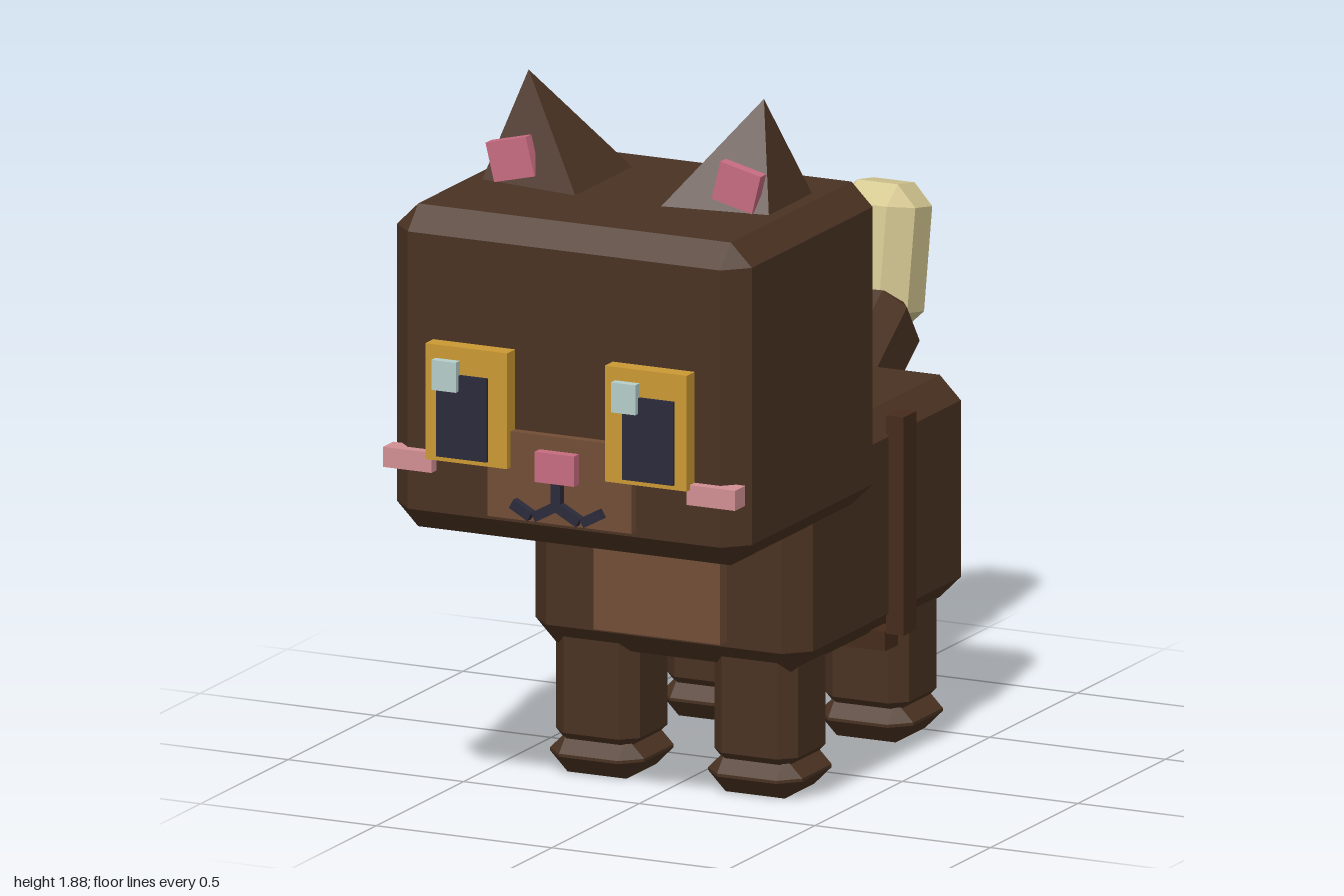
import * as THREE from 'three';
import { ConvexGeometry } from 'three/addons/geometries/ConvexGeometry.js';

const mat = (name, color) => {
  const m = new THREE.MeshStandardMaterial({ color });
  m.name = name;
  return m;
};

// Box with all edges bevelled flat by c
function chamferBox(w, h, d, c) {
  const pts = [];
  for (const sx of [-1, 1]) for (const sy of [-1, 1]) for (const sz of [-1, 1]) {
    const x = w / 2, y = h / 2, z = d / 2;
    pts.push(
      new THREE.Vector3(sx * x, sy * (y - c), sz * (z - c)),
      new THREE.Vector3(sx * (x - c), sy * y, sz * (z - c)),
      new THREE.Vector3(sx * (x - c), sy * (y - c), sz * z));
  }
  return new ConvexGeometry(pts);
}

export function createModel() {
  const root = new THREE.Group();
  root.name = 'cat';
  const fur = mat('brown fur', 0x4a3222);
  const leather = mat('strap brown', 0x452b1a);
  const patch = mat('light brown fur', 0x714d35);
  const amber = mat('amber', 0xcc9933);
  const dark = mat('dark navy', 0x2b2a3a);
  const glass = mat('pale glass', 0xb6cfca);
  const pink = mat('pink', 0xc86c82);
  const blush = mat('blush pink', 0xd29094);
  const cream = mat('cream', 0xd3c690);
  const metal = mat('grey metal', 0x989ca6);

  const add = (name, geo, material, x = 0, y = 0, z = 0, parent = root) => {
    const m = new THREE.Mesh(geo, material);
    m.name = name;
    m.position.set(x, y, z);
    parent.add(m);
    return m;
  };
  // Plain box given by its extents
  const slab = (name, material, x0, x1, y0, y1, z0, z1, parent = root) =>
    add(name, new THREE.BoxGeometry(x1 - x0, y1 - y0, z1 - z0), material,
      (x0 + x1) / 2, (y0 + y1) / 2, (z0 + z1) / 2, parent);

  // Body and chest
  add('body', chamferBox(0.79, 0.585, 0.965, 0.06), fur, 0, 0.6325, -0.1225);
  slab('chestPatch', patch, -0.18, 0.18, 0.415, 0.8, 0.34, 0.4);

  // Legs and paws
  for (const x of [-0.225, 0.225]) for (const z of [0.205, -0.43]) {
    const leg = new THREE.Group();
    leg.name = z > 0 ? 'frontLeg' : 'backLeg';
    leg.position.set(x, 0, z);
    root.add(leg);
    add('shin', chamferBox(0.238, 0.35, 0.238, 0.04), fur, 0, 0.245, 0, leg);
    add('paw', chamferBox(0.268, 0.108, 0.268, 0.05), fur, 0, 0.054, 0, leg);
  }

  // Tail
  add('tailBase', chamferBox(0.24, 0.237, 0.35, 0.055), fur, 0, 0.9, -0.727).rotation.x = 0.61;
  add('tailTip', chamferBox(0.225, 0.38, 0.208, 0.055), cream, 0, 1.125, -0.877).rotation.x = -0.175;

  // Head
  const head = new THREE.Group();
  head.name = 'head';
  root.add(head);
  add('skull', chamferBox(1.01, 0.85, 0.81, 0.06), fur, 0, 1.19, 0.525, head);
  slab('muzzle', patch, -0.205, 0.205, 0.84, 1.07, 0.92, 0.957, head);
  slab('nose', pink, -0.056, 0.056, 0.953, 1.033, 0.94, 0.985, head);

  for (const s of [-1, 1]) {
    // Ear: lopsided four-sided pyramid leaning outward
    const ear = [[0.335, 1.885, 0.46], [0.12, 1.612, 0.293], [0.12, 1.612, 0.622],
      [0.412, 1.6, 0.325], [0.412, 1.6, 0.585]];
    add('ear', new ConvexGeometry(ear.map(([x, y, z]) => new THREE.Vector3(s * x, y, z))),
      fur, 0, 0, 0, head);
    add('innerEar', new THREE.BoxGeometry(0.118, 0.104, 0.032), pink,
      s * 0.322, 1.68, 0.577, head).rotation.z = -s * 0.24;

    // Eye with pupil and a highlight on the same side of both eyes
    const cx = s * 0.2555, px = s * 0.265, hx = s < 0 ? -0.308 : 0.203;
    slab('eye', amber, cx - 0.1165, cx + 0.1165, 0.975, 1.28, 0.92, 0.976, head);
    slab('pupil', dark, px - 0.072, px + 0.072, 0.988, 1.208, 0.97, 0.985, head);
    slab('eyeHighlight', glass, hx - 0.035, hx + 0.035, 1.166, 1.245, 0.97, 1.0, head);

    slab('cheek', blush, s * 0.432 - 0.069, s * 0.432 + 0.069, 0.935, 0.988, 0.9, 0.958, head);

    // Mouth strokes
    add('mouthInner', new THREE.BoxGeometry(0.065, 0.026, 0.03), dark,
      s * 0.035, 0.873, 0.965, head).rotation.z = -s * 0.5;
    add('mouthOuter', new THREE.BoxGeometry(0.06, 0.026, 0.03), dark,
      s * 0.1, 0.872, 0.965, head).rotation.z = s * 0.5;
  }
  slab('mouthLine', dark, -0.013, 0.013, 0.88, 0.96, 0.95, 0.98, head);

  // Harness strap around the sides and belly
  for (const s of [-1, 1])
    slab('sideStrap', leather, s * 0.412 - 0.025, s * 0.412 + 0.025, 0.345, 0.92, -0.207, -0.133);
  slab('bellyStrap', leather, -0.385, 0.385, 0.298, 0.35, -0.207, -0.133);

  // Jar on the back
  const jar = new THREE.Group();
  jar.name = 'jar';
  jar.position.set(0, 0, -0.17);
  root.add(jar);
  const ring = (name, material, r, y0, y1) => {
    const geo = new THREE.CylinderGeometry(r, r, y1 - y0, 12).toNonIndexed();
    geo.computeVertexNormals();
    add(name, geo, material, 0, (y0 + y1) / 2, 0, jar);
  };
  ring('jarBase', metal, 0.208, 0.91, 0.972);
  ring('jarGlass', glass, 0.203, 0.95, 1.4);
  ring('jarBand', leather, 0.224, 1.143, 1.197);
  ring('jarLid', metal, 0.213, 1.383, 1.453);
  ring('jarKnob', metal, 0.12, 1.44, 1.487);

  // Little nuggets around the glass: angle in degrees, height
  const nuggets = [[17, 1.04], [90, 1.115], [128, 1.325], [180, 1.245], [250, 1.07], [303, 1.29]];
  nuggets.forEach(([deg, y], i) => {
    const a = THREE.MathUtils.degToRad(deg);
    const n = add('nugget', new THREE.TetrahedronGeometry(0.034), cream,
      Math.sin(a) * 0.203, y, Math.cos(a) * 0.203, jar);
    n.rotation.set(i * 0.9, i * 1.3, i * 0.5);
  });

  return root;
}
